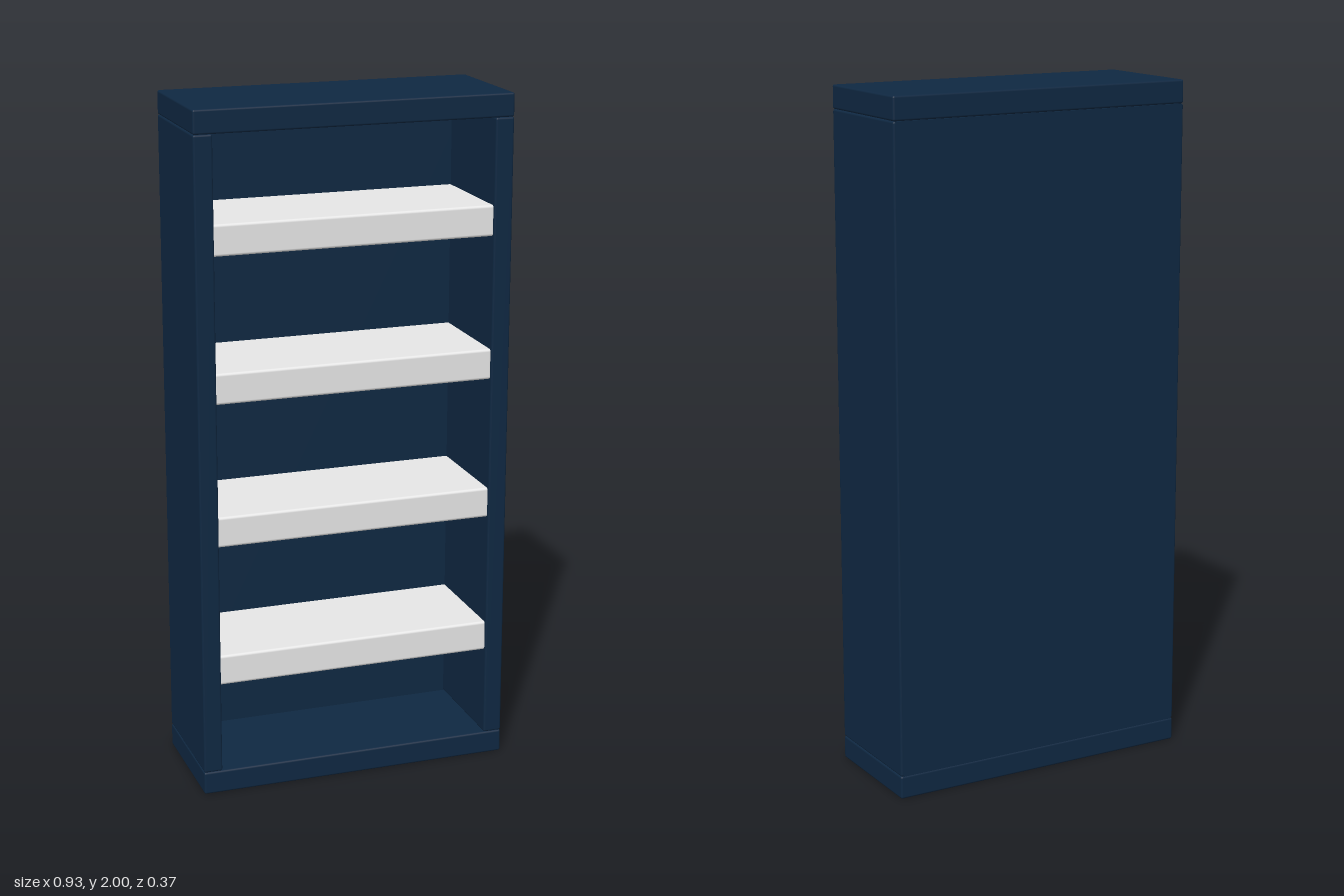
import * as THREE from 'three';
import { RoundedBoxGeometry } from 'three/addons/geometries/RoundedBoxGeometry.js';

export function createModel() {
  const model = new THREE.Group();
  model.name = 'bookcase';

  const navy = new THREE.MeshStandardMaterial({ color: 0x0f2842 });
  navy.name = 'navy';
  const shelfWhite = new THREE.MeshStandardMaterial({ color: 0xe8e8e8 });
  shelfWhite.name = 'shelfWhite';

  // Board with softly eased edges
  function board(name, size, position, material, radius = 0.006) {
    const mesh = new THREE.Mesh(new RoundedBoxGeometry(...size, 2, radius), material);
    mesh.name = name;
    mesh.position.set(...position);
    model.add(mesh);
  }

  const W = 0.93, D = 0.37, H = 2, cap = 0.068, side = 0.055, back = 0.037;

  // Top and base boards span the full width
  board('topBoard', [W, cap, D], [0, H - cap / 2, 0], navy);
  board('baseBoard', [W, cap, D], [0, cap / 2, 0], navy);

  // Side panels between them
  for (const s of [-1, 1]) {
    board(s > 0 ? 'leftSide' : 'rightSide',
      [side, H - 2 * cap, D], [s * (W - side) / 2, H / 2, 0], navy);
  }

  // Back panel, let into the side panels
  const panel = new THREE.Mesh(new THREE.BoxGeometry(W - 0.014, H - 2 * cap, back), navy);
  panel.name = 'backPanel';
  panel.position.set(0, H / 2, -D / 2 + back / 2 - 0.001);
  model.add(panel);

  // Four thick shelves, set just behind the front edge
  const inner = W - 2 * side, front = D / 2 - 0.008, rear = -D / 2 + back - 0.008;
  for (let i = 0; i < 4; i++) {
    board('shelf' + (i + 1), [inner + 0.01, 0.09, front - rear],
      [0, 0.379 + i * 0.42, (front + rear) / 2], shelfWhite, 0.008);
  }

  return model;
}
